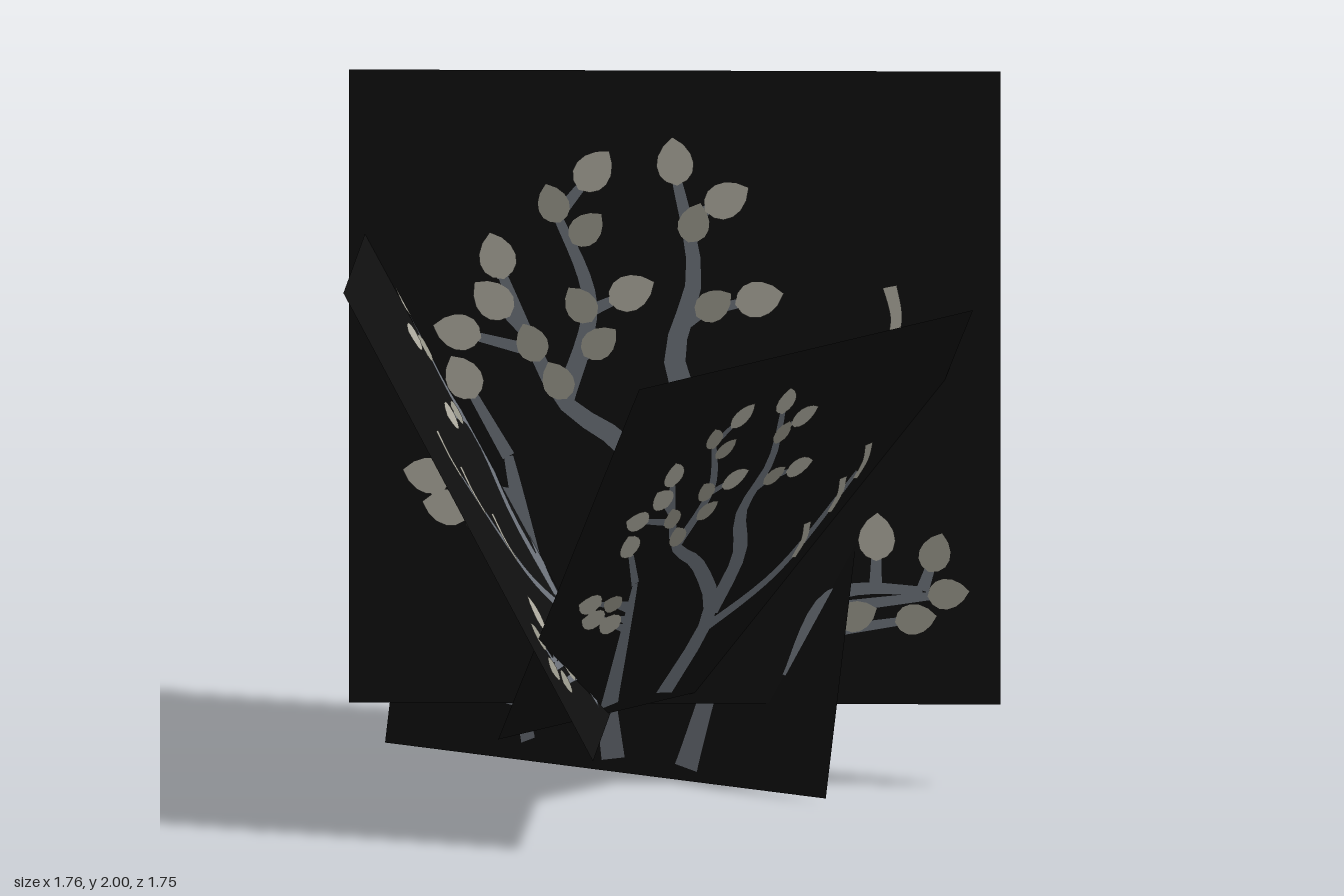
import * as THREE from 'three';
import { mergeGeometries } from 'three/addons/utils/BufferGeometryUtils.js';

const mat = (name, color) => new THREE.MeshStandardMaterial({ name, color, side: THREE.DoubleSide });
const spline = (...p) => new THREE.SplineCurve(p.map(([u, v]) => new THREE.Vector2(u, v)));

// Tapered ribbon along a curve in the unit square
function ribbon(curve, w0, w1) {
  const n = 14, left = [], right = [];
  for (let i = 0; i <= n; i++) {
    const t = i / n, c = curve.getPoint(t), d = curve.getTangent(t);
    const w = THREE.MathUtils.lerp(w0, w1, t) / 2;
    left.push(new THREE.Vector2(c.x - d.y * w, c.y + d.x * w));
    right.unshift(new THREE.Vector2(c.x + d.y * w, c.y - d.x * w));
  }
  return new THREE.ShapeGeometry(new THREE.Shape([...left, ...right]));
}

// Rounded leaf with a slightly pointed tip
function leaf(at, size, tilt) {
  const s = new THREE.Shape();
  s.moveTo(0, -0.5);
  s.bezierCurveTo(0.6, -0.4, 0.6, 0.2, 0, 0.5);
  s.bezierCurveTo(-0.6, 0.2, -0.6, -0.4, 0, -0.5);
  const g = new THREE.ShapeGeometry(s, 6);
  return g.scale(size, size * 1.2, 1).rotateZ(tilt).translate(at.x, at.y, 0);
}

// Limbs: trunk with left limb, right limb, inner limb, long spray, left stem, low right stem
const thick = [
  spline([0.485, 0.025], [0.53, 0.24], [0.43, 0.4], [0.32, 0.49], [0.23, 0.69]),
  spline([0.53, 0.24], [0.55, 0.4], [0.5, 0.54], [0.53, 0.68], [0.5, 0.84]),
  spline([0.32, 0.025], [0.285, 0.2], [0.245, 0.39]),
];
const thin = [
  spline([0.33, 0.48], [0.37, 0.63], [0.32, 0.77]),
  spline([0.52, 0.19], [0.7, 0.33], [0.83, 0.58]),
  spline([0.68, 0.04], [0.74, 0.17], [0.88, 0.18]),
];

// Leaf positions, alternately pale and grey
const leaves = [
  [0.5, 0.857], [0.53, 0.76], [0.58, 0.797], [0.365, 0.75], [0.376, 0.842], [0.313, 0.79],
  [0.227, 0.707], [0.355, 0.63], [0.22, 0.638], [0.28, 0.57], [0.166, 0.587], [0.385, 0.57],
  [0.175, 0.515], [0.32, 0.51], [0.434, 0.65], [0.56, 0.63], [0.63, 0.64], [0.195, 0.345],
  [0.15, 0.31], [0.78, 0.14], [0.21, 0.285], [0.9, 0.24], [0.12, 0.36], [0.92, 0.175],
  [0.81, 0.265], [0.87, 0.135],
].map(([u, v]) => new THREE.Vector2(u, v));

// Corner at the picture's lower left, then its across and up edges
const panels = [
  ['uprightPanel', [-0.88, 0.24, -0.055], [1.76, 0, 0], [0, 1.76, 0]],
  ['frontPanel', [-0.47, 0.26, 0.44], [0.89, 0.02, -0.84], [0.39, 1.08, 0.43]],
  ['sidePanel', [-0.11, 0.25, -0.75], [-0.1, 0.015, 1.455], [-0.675, 1.285, -0.06]],
  ['backPanel', [0.41, 0.015, 0.1], [-1.2, -0.015, -0.67], [0.16, 1.34, -0.31]],
];

export function createModel() {
  const bark = [
    ...thick.map((c) => ribbon(c, 0.052, 0.014)),
    ...thin.map((c) => ribbon(c, 0.032, 0.013)),
  ];
  const foliage = [[], []];
  const nodes = [...thick, ...thin].flatMap((c) => c.getPoints(30));

  // each leaf hangs on a twig from the nearest limb point below it
  leaves.forEach((at, i) => {
    const root = nodes.filter((p) => p.y < at.y - 0.02)
      .reduce((a, b) => (b.distanceTo(at) < a.distanceTo(at) ? b : a));
    const out = at.clone().sub(root);
    bark.push(ribbon(new THREE.LineCurve(root, at), 0.02, 0.012));
    foliage[i % 2].push(leaf(at, i % 2 ? 0.054 : 0.064, Math.atan2(-out.x, out.y)));
  });

  // slim buds on the long spray
  for (const t of [0.6, 0.8, 1]) {
    const p = thin[1].getPoint(t);
    foliage[0].push(ribbon(spline([p.x, p.y - 0.02], [p.x + 0.01, p.y + 0.03], [p.x, p.y + 0.08]), 0.014, 0.022));
  }

  // artwork layers, with their height above the board
  const layers = [
    ['branches', mergeGeometries(bark), mat('slate bark', 0x6c727a), 0.002],
    ['greyLeaves', mergeGeometries(foliage[1]), mat('grey leaf', 0x98968a), 0.003],
    ['paleLeaves', mergeGeometries(foliage[0]), mat('pale leaf', 0xaeab9f), 0.004],
  ];
  const board = new THREE.PlaneGeometry(1, 1).translate(0.5, 0.5, 0);
  const black = mat('black board', 0x0f0f0f);

  const model = new THREE.Group();
  for (const [name, corner, across, up] of panels) {
    const u = new THREE.Vector3(...across), v = new THREE.Vector3(...up);
    const n = new THREE.Vector3().crossVectors(u, v).normalize();
    const panel = new THREE.Group();
    panel.name = name;
    const add = (part, geo, material, z) => {
      const m = new THREE.Mesh(geo, material);
      m.name = part;
      m.position.z = z;
      panel.add(m);
    };
    add('board', board, black, 0);
    // the artwork shows on both faces
    for (const [part, geo, material, z] of layers) {
      add(part, geo, material, z);
      add(part, geo, material, -z);
    }
    panel.applyMatrix4(new THREE.Matrix4().makeBasis(u, v, n).setPosition(...corner));
    model.add(panel);
  }
  return model;
}
